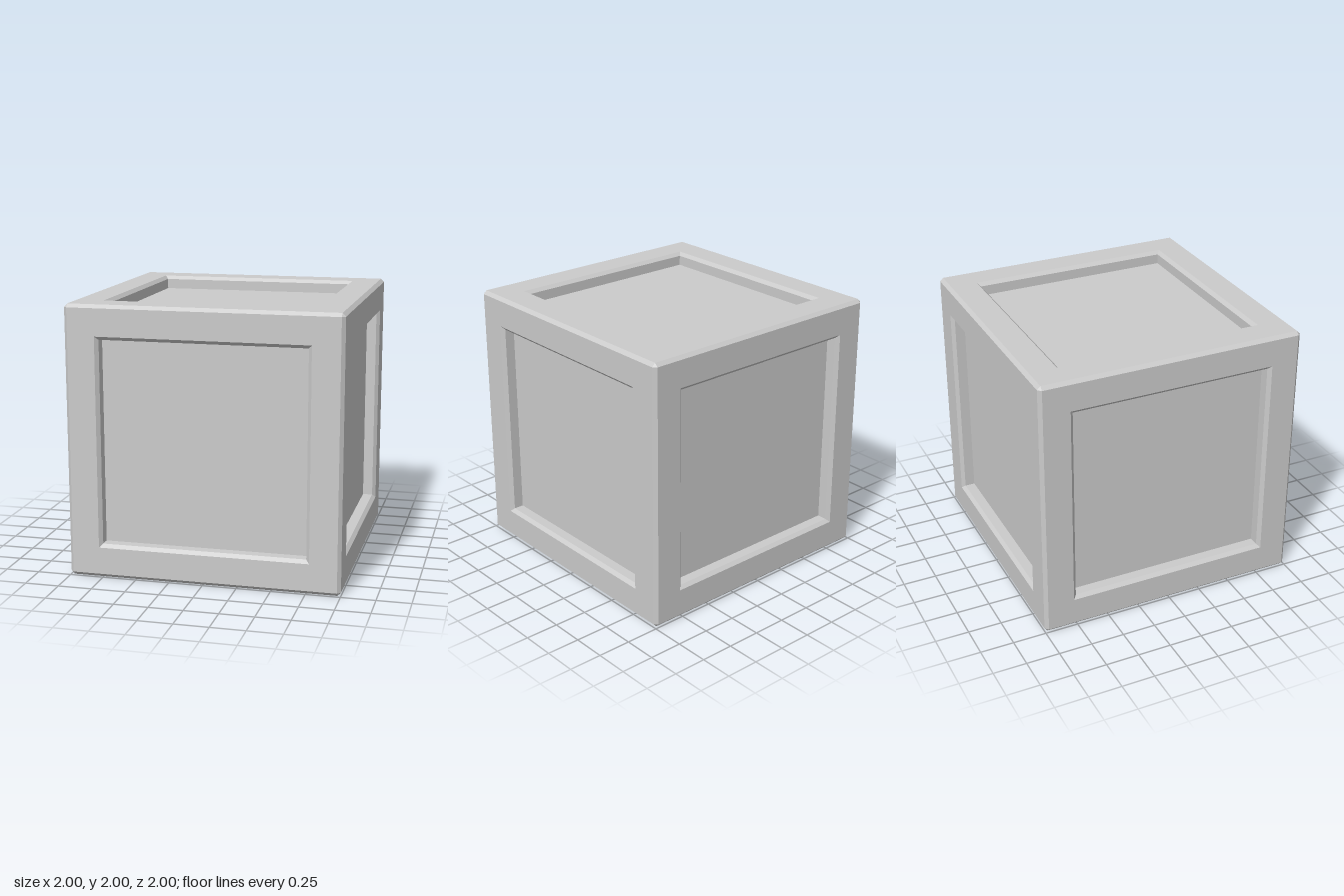
import * as THREE from 'three';

const BEVEL = 0.025;      // chamfer on outer edges and recess rims
const FLAT = 1 - BEVEL;   // half size of each flat face
const OPENING = 0.775;    // half size of the recess at the surface
const DEPTH = 0.1;        // recess depth
const Q = Math.PI / 2;

// One framed side facing +y: a four-sided lathe from outer border to panel centre
function framedSideGeometry() {
  const inner = OPENING - BEVEL;
  const profile = [
    [FLAT, 1], [OPENING, 1], [inner, 1 - BEVEL], [inner, 1 - DEPTH], [0, 1 - DEPTH],
  ].map(([half, y]) => new THREE.Vector2(half * Math.SQRT2, y));
  const geo = new THREE.LatheGeometry(profile, 4, Math.PI / 4).toNonIndexed();
  geo.computeVertexNormals();
  return geo;
}

// Chamfer strip along x, facing up and forward
function edgeGeometry() {
  const mid = 1 - BEVEL / 2;
  return new THREE.PlaneGeometry(2 * FLAT, BEVEL * Math.SQRT2)
    .rotateX(-Math.PI / 4)
    .translate(0, mid, mid);
}

// Small triangle closing the +x +y +z corner
function cornerGeometry() {
  const geo = new THREE.BufferGeometry();
  geo.setAttribute('position', new THREE.Float32BufferAttribute(
    [1, FLAT, FLAT, FLAT, 1, FLAT, FLAT, FLAT, 1], 3));
  geo.computeVertexNormals();
  return geo;
}

export function createModel() {
  const model = new THREE.Group();
  model.name = 'crate';
  const material = new THREE.MeshStandardMaterial({ color: 0xcccccc, flatShading: true });

  const add = (name, geometry, x, y, z, order = 'XYZ') => {
    const mesh = new THREE.Mesh(geometry, material);
    mesh.name = name;
    mesh.rotation.set(x, y, z, order);
    mesh.position.y = 1;
    model.add(mesh);
  };

  const side = framedSideGeometry();
  const edge = edgeGeometry();
  const corner = cornerGeometry();

  // Top and bottom panels
  add('topPanel', side, 0, 0, 0);
  add('bottomPanel', side, Math.PI, 0, 0);

  for (let k = 0; k < 4; k++) {
    // Four upright panels
    add('sidePanel', side, 0, k * Q, Q);
    // Bevelled edges along x, y and z
    add('edgeBevelX', edge, k * Q, 0, 0, 'ZYX');
    add('edgeBevelY', edge, k * Q, 0, Q, 'ZYX');
    add('edgeBevelZ', edge, k * Q, Q, 0, 'ZYX');
    // Cut corners
    add('topCorner', corner, 0, k * Q, 0);
    add('bottomCorner', corner, Math.PI, k * Q, 0);
  }
  return model;
}
